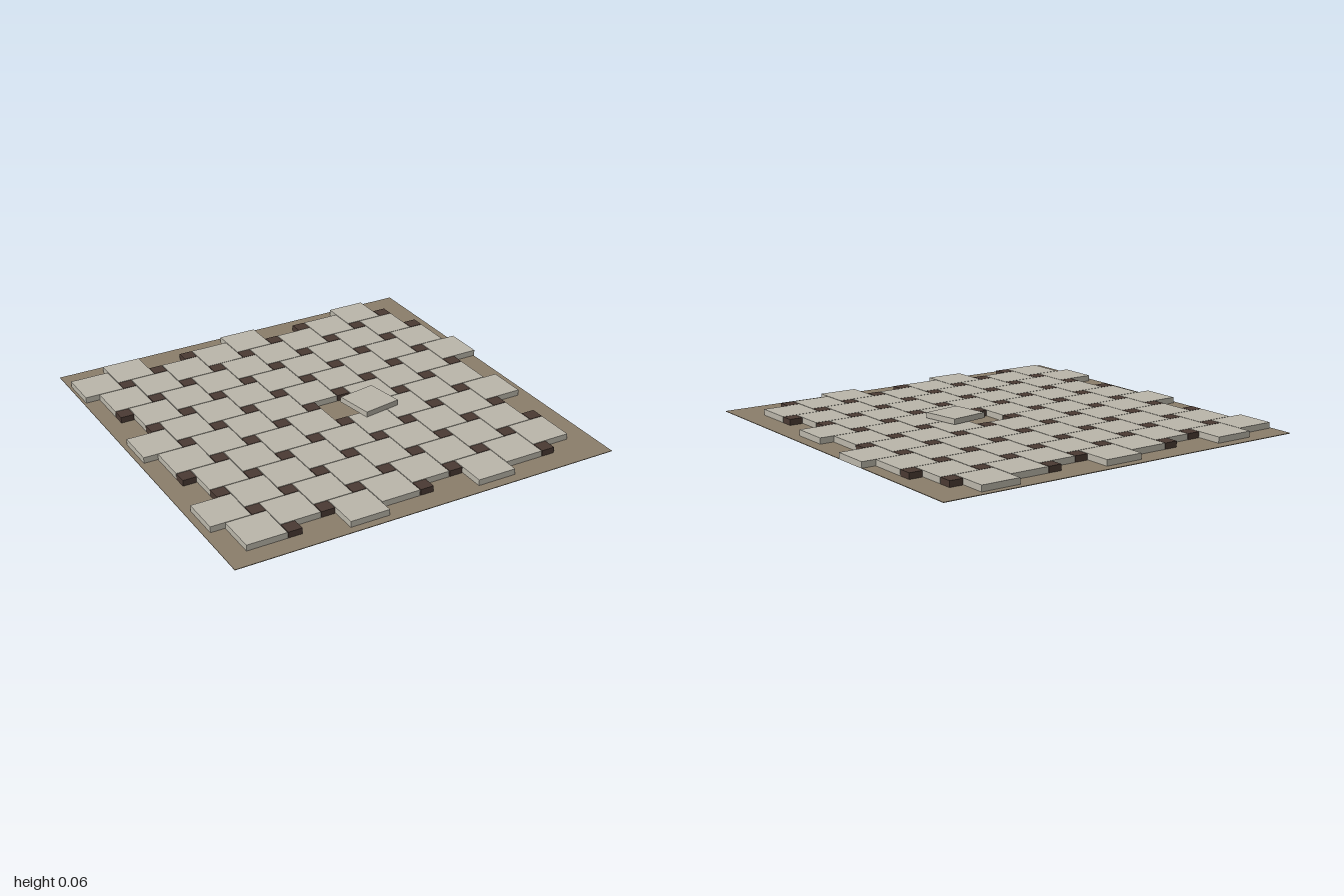
import * as THREE from 'three';

export function createModel() {
  const model = new THREE.Group();
  model.name = 'pinwheelPaving';

  const stone = new THREE.MeshStandardMaterial({ color: 0xbab6aa });
  stone.name = 'pale stone';
  const dark = new THREE.MeshStandardMaterial({ color: 0x4a3a33 });
  dark.name = 'dark stone';
  const mortar = new THREE.MeshStandardMaterial({ color: 0x8b7e6b });
  mortar.name = 'mortar bed';

  const BED = 0.003, THICK = 0.03, BIG = 0.2, SMALL = 0.068;
  const bigGeo = new THREE.BoxGeometry(BIG, THICK, BIG);
  const smallGeo = new THREE.BoxGeometry(SMALL, THICK, SMALL);

  function add(parent, name, geo, mat, x, y, z) {
    const mesh = new THREE.Mesh(geo, mat);
    mesh.name = name;
    mesh.position.set(x, y, z);
    parent.add(mesh);
    return mesh;
  }

  // Thin mortar bed
  add(model, 'mortarBed', new THREE.BoxGeometry(1.994, BED, 1.994), mortar, -0.003, BED / 2, 0);

  // Two-square tiling on a skewed square lattice
  const largeTiles = new THREE.Group();
  largeTiles.name = 'largeTiles';
  const smallTiles = new THREE.Group();
  smallTiles.name = 'smallTiles';
  model.add(largeTiles, smallTiles);

  const A = 0.2037, B = 0.0715; // lattice steps along and across
  const LIMIT = 0.9;            // tile centres stay within this
  const inside = (x, z) => Math.abs(x) < LIMIT && Math.abs(z) < LIMIT;
  const y = BED + THICK / 2;
  for (let i = -7; i <= 7; i++) {
    for (let j = -7; j <= 7; j++) {
      const x = 0.082 + i * A + j * B;
      const z = 0.032 - i * B + j * A;
      const missing = i === 0 && j === 0; // this tile has been lifted out
      if (inside(x, z) && !missing) add(largeTiles, 'largeTile', bigGeo, stone, x, y, z);
      const sx = x - 0.1375, sz = z - 0.066;
      if (inside(sx, sz)) add(smallTiles, 'smallTile', smallGeo, dark, sx, y, sz);
    }
  }

  // Loose tile resting beside its empty place
  const loose = add(model, 'looseTile', new THREE.BoxGeometry(BIG, 0.028, BIG), stone, 0.207, 0.05, 0.08);
  loose.rotation.y = 0.165;

  return model;
}
